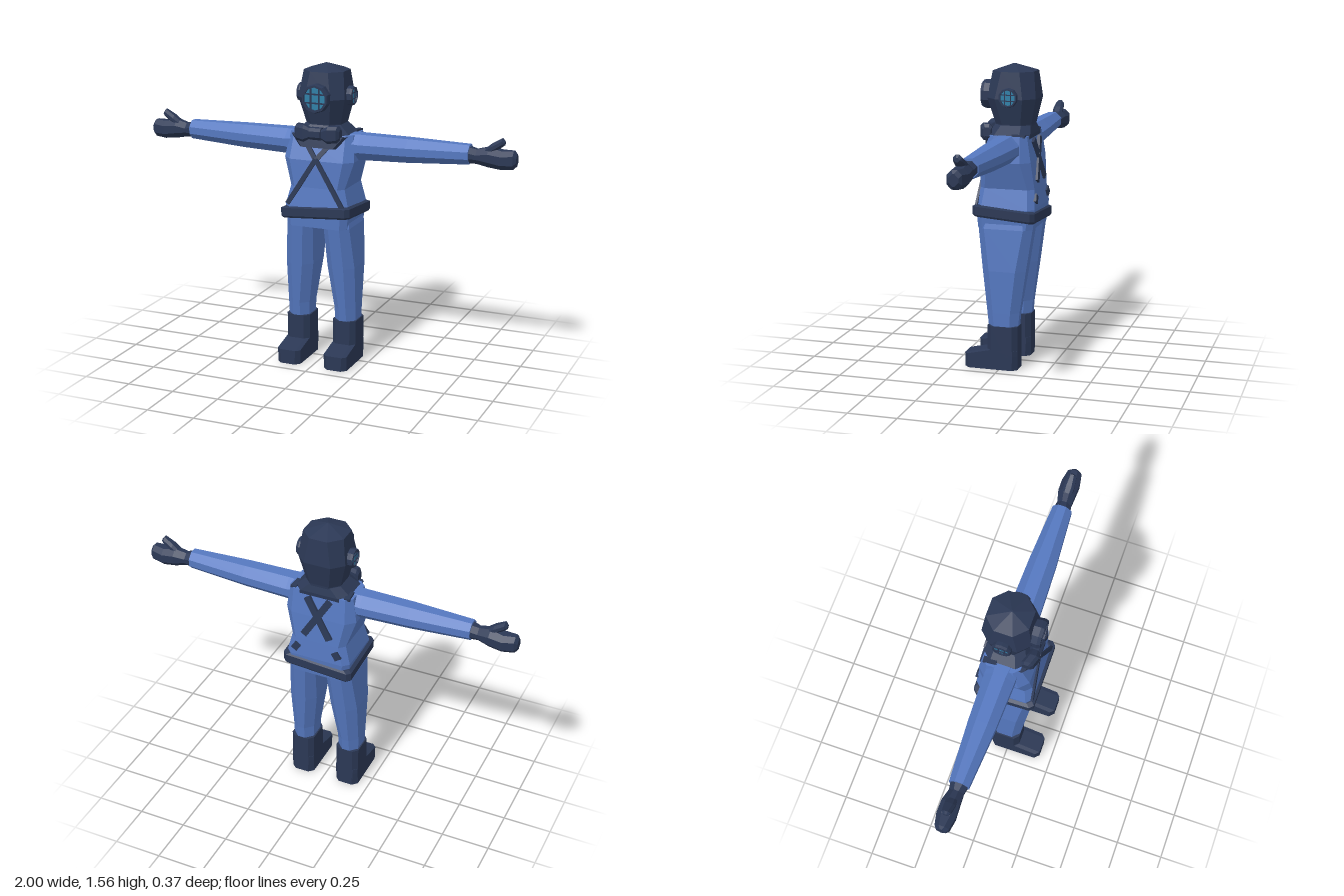
import * as THREE from 'three';

const paint = (color) => new THREE.MeshStandardMaterial({ color, flatShading: true });
const suit = paint(0x5578c0), dark = paint(0x2b3855), glass = paint(0x2f7fa6);

// Faceted tube through chamfered rectangles. Ring: [t, uMin, uMax, vMin, vMax, chamfer]
// axis 'y': t = y, u = x, v = z; axis 'x': t = x, u = y, v = z. side = -1 mirrors in x.
function loft(rings, axis = 'y', side = 1) {
  const loops = rings.map(([t, a, b, c, d, k]) =>
    [[a + k, c], [b - k, c], [b, c + k], [b, d - k], [b - k, d], [a + k, d], [a, d - k], [a, c + k]]
      .map(([u, v]) => (axis === 'y' ? [side * u, t, v] : [side * t, u, v])));
  const flip = (axis === 'y') !== (side < 0);
  const pos = [];
  const tri = (p, q, r) => pos.push(...p, ...(flip ? r : q), ...(flip ? q : r));
  const first = loops[0], last = loops[loops.length - 1];
  for (let i = 0; i < 8; i++) {
    const j = (i + 1) % 8;
    for (let r = 0; r + 1 < loops.length; r++) {
      const lo = loops[r], hi = loops[r + 1];
      tri(lo[i], lo[j], hi[j]);
      tri(lo[i], hi[j], hi[i]);
    }
    if (i > 0 && i < 7) {
      tri(first[0], first[j], first[i]);
      tri(last[0], last[i], last[j]);
    }
  }
  const g = new THREE.BufferGeometry();
  g.setAttribute('position', new THREE.Float32BufferAttribute(pos, 3));
  g.computeVertexNormals();
  return g;
}

function add(parent, name, geometry, material) {
  const m = new THREE.Mesh(geometry, material);
  m.name = name;
  parent.add(m);
  return m;
}

// Flat bar between two points
function bar(parent, name, from, to, width, depth, material = dark) {
  const a = new THREE.Vector3(...from), b = new THREE.Vector3(...to);
  const m = add(parent, name, new THREE.BoxGeometry(width, a.distanceTo(b), depth), material);
  m.position.copy(a).add(b).multiplyScalar(0.5);
  m.quaternion.setFromUnitVectors(new THREE.Vector3(0, 1, 0), b.sub(a).normalize());
  return m;
}

// Round window facing +z: raised rim, sunken glass and a grid of bars
function porthole(name, r, h) {
  const g = new THREE.Group();
  g.name = name;
  const profile = [[r * 0.95, 0], [r, h * 0.7], [r * 0.93, h], [r * 0.78, h], [r * 0.78, h * 0.5]];
  const rim = new THREE.LatheGeometry(profile.map((p) => new THREE.Vector2(...p)), 10);
  add(g, 'windowRim', rim.rotateX(Math.PI / 2), dark);
  add(g, 'windowGlass', new THREE.CylinderGeometry(r * 0.8, r * 0.8, h * 0.8, 10).rotateX(Math.PI / 2), glass)
    .position.z = h * 0.4;
  for (const s of [-1, 1]) {
    const o = s * r * 0.3, l = r * 0.75;
    bar(g, 'windowBar', [o, -l, h * 0.85], [o, l, h * 0.85], r * 0.09, h * 0.15);
    bar(g, 'windowBar', [-l, o, h * 0.85], [l, o, h * 0.85], r * 0.09, h * 0.15);
  }
  return g;
}

export function createModel() {
  const model = new THREE.Group();
  model.name = 'diver';

  // Jacket with a recessed hem
  add(model, 'jacket', loft([
    [0.78, -0.14, 0.14, -0.14, 0.1, 0.03],
    [0.735, -0.163, 0.163, -0.165, 0.125, 0.03],
    [0.84, -0.172, 0.172, -0.175, 0.128, 0.03],
    [0.94, -0.147, 0.147, -0.168, 0.115, 0.03],
    [1.08, -0.19, 0.19, -0.155, 0.11, 0.045],
    [1.21, -0.17, 0.17, -0.135, 0.06, 0.03],
  ]), suit);

  // Slanted belt
  const belt = loft([
    [0.775, -0.182, 0.182, -0.175, 0.135, 0.02],
    [0.785, -0.188, 0.188, -0.182, 0.142, 0.02],
    [0.827, -0.188, 0.188, -0.182, 0.142, 0.02],
    [0.835, -0.17, 0.17, -0.17, 0.125, 0.02],
  ]);
  const p = belt.attributes.position;
  for (let i = 0; i < p.count; i++) p.setY(i, p.getY(i) + 0.07 * p.getX(i) + 0.08 * p.getZ(i));
  belt.computeVertexNormals();
  add(model, 'belt', belt, dark);

  // Helmet on its flared collar
  add(model, 'collar', loft([
    [1.185, -0.15, 0.15, -0.137, 0.085, 0.04],
    [1.212, -0.145, 0.145, -0.14, 0.08, 0.045],
    [1.255, -0.095, 0.095, -0.13, 0.055, 0.04],
  ]), dark);
  add(model, 'collarFlap', loft([
    [1.145, -0.1, 0.1, 0.04, 0.098, 0.015],
    [1.205, -0.15, 0.15, 0.03, 0.085, 0.015],
  ]), dark);
  add(model, 'helmet', loft([
    [1.22, -0.09, 0.09, -0.13, 0.05, 0.045],
    [1.26, -0.095, 0.095, -0.132, 0.055, 0.045],
    [1.39, -0.126, 0.126, -0.16, 0.093, 0.055],
    [1.525, -0.108, 0.108, -0.145, 0.07, 0.06],
    [1.56, -0.004, 0.004, -0.034, -0.026, 0.002],
  ]), dark);
  const face = porthole('frontWindow', 0.075, 0.055);
  face.position.set(0, 1.4, 0.076);
  model.add(face);

  // Knot of the neck bow
  add(model, 'bowKnot', loft([
    [-0.03, 1.19, 1.25, 0.07, 0.13, 0.015],
    [0.03, 1.19, 1.25, 0.07, 0.13, 0.015],
  ], 'x'), dark);

  for (const s of [1, -1]) {
    const side = s > 0 ? 'left' : 'right';

    const port = porthole(side + 'Window', 0.05, 0.04);
    port.position.set(s * 0.11, 1.4, -0.035);
    port.rotation.y = s * Math.PI / 2;
    model.add(port);

    add(model, side + 'BowWing', loft([
      [0.02, 1.2, 1.24, 0.08, 0.12, 0.01],
      [0.065, 1.175, 1.262, 0.07, 0.13, 0.015],
      [0.11, 1.18, 1.262, 0.055, 0.115, 0.015],
      [0.122, 1.195, 1.245, 0.06, 0.1, 0.01],
    ], 'x', s), dark);

    // Straps crossing on the chest and on the back
    bar(model, 'chestStrap', [s * 0.15, 0.85, 0.127], [0, 1.09, 0.111], 0.024, 0.012);
    bar(model, 'chestStrap', [0, 1.085, 0.111], [s * -0.085, 1.19, 0.072], 0.024, 0.012);
    bar(model, 'backStrap', [s * 0.07, 0.975, -0.165], [s * -0.06, 1.185, -0.142], 0.036, 0.024);
    bar(model, 'backStrapEnd', [s * 0.122, 0.875, -0.173], [s * 0.1, 0.91, -0.17], 0.036, 0.02);
    bar(model, 'shoulderStrap', [s * 0.145, 1.21, -0.128], [s * 0.14, 1.213, -0.06], 0.03, 0.014);

    // Sleeve
    add(model, side + 'Sleeve', loft([
      [0.14, 1.075, 1.212, -0.105, 0.052, 0.04],
      [0.2, 1.082, 1.212, -0.105, 0.05, 0.045],
      [0.45, 1.09, 1.21, -0.098, 0.042, 0.04],
      [0.765, 1.108, 1.204, -0.08, 0.02, 0.03],
    ], 'x', s), suit);

    // Glove: cuff, fist and thumb
    add(model, side + 'Glove', loft([
      [0.755, 1.115, 1.195, -0.075, 0.015, 0.025],
      [0.8, 1.113, 1.185, -0.068, 0.006, 0.025],
      [0.86, 1.1, 1.2, -0.083, 0.008, 0.03],
      [0.925, 1.095, 1.188, -0.085, 0.01, 0.025],
      [0.985, 1.1, 1.19, -0.072, 0, 0.022],
      [1, 1.115, 1.175, -0.06, -0.012, 0.02],
    ], 'x', s), dark);
    add(model, side + 'Thumb', loft([
      [0.83, 1.15, 1.185, -0.06, -0.01, 0.012],
      [0.875, 1.172, 1.22, -0.06, -0.005, 0.014],
      [0.925, 1.205, 1.25, -0.055, -0.01, 0.014],
      [0.938, 1.215, 1.235, -0.045, -0.02, 0.008],
    ], 'x', s).rotateZ(0), dark);

    // Trouser leg
    add(model, side + 'Leg', loft([
      [0.2, 0.075, 0.186, -0.09, 0.06, 0.035],
      [0.3, 0.07, 0.188, -0.1, 0.072, 0.04],
      [0.52, 0.04, 0.19, -0.132, 0.097, 0.045],
      [0.735, 0.03, 0.172, -0.163, 0.122, 0.04],
      [0.8, 0.02, 0.155, -0.15, 0.11, 0.04],
    ], 'y', s), suit);

    // Boot: shaft and foot
    add(model, side + 'BootShaft', loft([
      [0, 0.066, 0.193, -0.095, 0.065, 0.025],
      [0.23, 0.066, 0.193, -0.095, 0.065, 0.025],
    ], 'y', s), dark);
    add(model, side + 'BootFoot', loft([
      [0, 0.066, 0.193, -0.094, 0.185, 0.025],
      [0.075, 0.066, 0.193, -0.094, 0.185, 0.02],
      [0.103, 0.066, 0.193, -0.094, 0.065, 0.02],
    ], 'y', s), dark);
  }
  return model;
}
